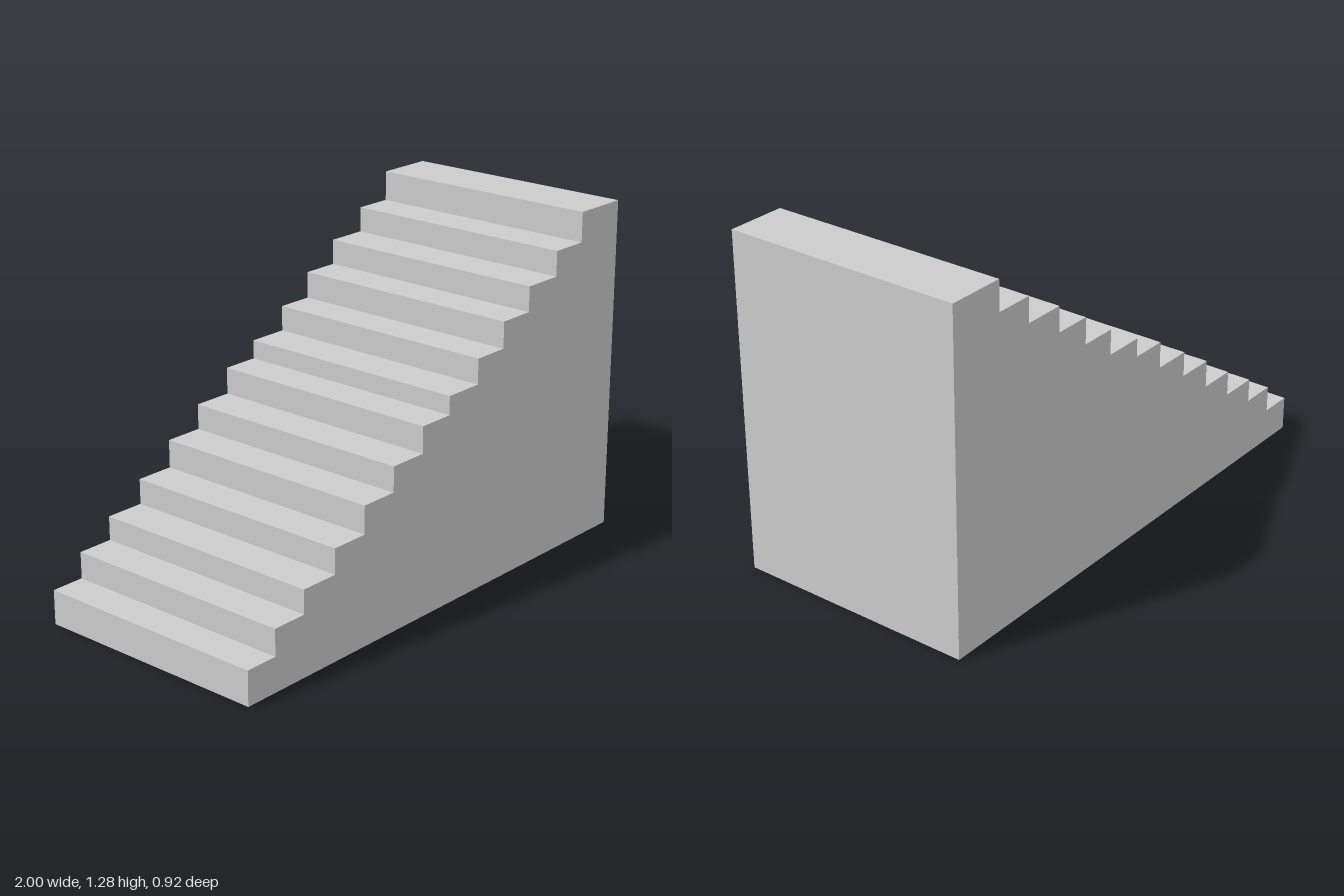
import * as THREE from 'three';

// Each step: where its riser stands (x) and the height of its tread (y)
const STEPS = [
  [-1, 0.13], [-0.87, 0.23], [-0.73, 0.32], [-0.577, 0.415], [-0.427, 0.52],
  [-0.277, 0.615], [-0.123, 0.715], [0.02, 0.785], [0.177, 0.88],
  [0.32, 0.98], [0.465, 1.075], [0.625, 1.17], [0.775, 1.283],
];
const END_X = 1;
const DEPTH = 0.924;

export function createModel() {
  const group = new THREE.Group();
  group.name = 'staircase';

  // Stepped side profile: riser then tread for every step
  const profile = new THREE.Shape();
  profile.moveTo(END_X, 0);
  profile.lineTo(STEPS[0][0], 0);
  STEPS.forEach(([x, y], i) => {
    const nextX = i + 1 < STEPS.length ? STEPS[i + 1][0] : END_X;
    profile.lineTo(x, y);
    profile.lineTo(nextX, y);
  });
  profile.closePath();

  // Solid block of stairs across the full width
  const geometry = new THREE.ExtrudeGeometry(profile, { depth: DEPTH, bevelEnabled: false });
  geometry.translate(0, 0, -DEPTH / 2);
  const stairs = new THREE.Mesh(
    geometry,
    new THREE.MeshStandardMaterial({ color: 0xcccccc, flatShading: true }),
  );
  stairs.name = 'solidStairs';
  group.add(stairs);

  return group;
}
